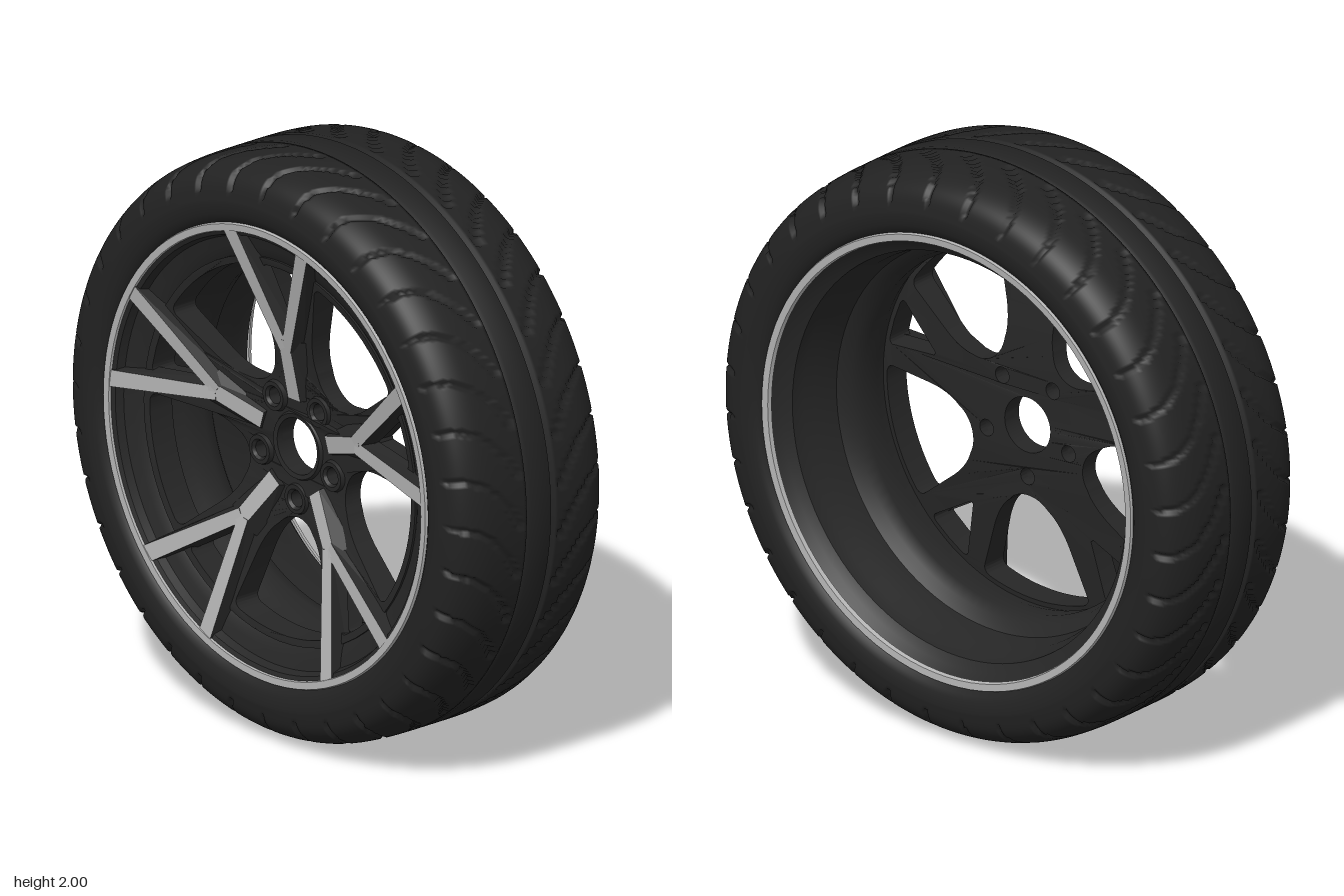
import * as THREE from 'three';
import { toCreasedNormals } from 'three/addons/utils/BufferGeometryUtils.js';

const rubber = new THREE.MeshStandardMaterial({ color: 0x222222 });
const darkMetal = new THREE.MeshStandardMaterial({ color: 0x262626, side: THREE.DoubleSide });
const silver = new THREE.MeshStandardMaterial({ color: 0xb2b2b2, side: THREE.DoubleSide });
rubber.name = 'rubber';
darkMetal.name = 'darkMetal';
silver.name = 'silver';

const V2 = (x, y) => new THREE.Vector2(x, y);
const FIFTH = (Math.PI * 2) / 5;
const lerp = THREE.MathUtils.lerp;

function add(parent, name, geometry, material) {
  const mesh = new THREE.Mesh(geometry, material);
  mesh.name = name;
  parent.add(mesh);
  return mesh;
}

// Turned part around the z axle; points are [radius, z]
function turned(points, segments = 96) {
  const g = new THREE.LatheGeometry(points.map(([r, z]) => V2(r, z)), segments);
  g.rotateX(Math.PI / 2);
  return toCreasedNormals(g, 0.6);
}

// Half tyre section as (z, radius), from the centre line to the bead
function tyreProfile() {
  const tread = new THREE.SplineCurve([
    V2(0.063, 1), V2(0.15, 0.998), V2(0.23, 0.988), V2(0.29, 0.96), V2(0.322, 0.92), V2(0.335, 0.86),
  ]).getPoints(25);
  const wall = new THREE.SplineCurve([
    V2(0.335, 0.86), V2(0.329, 0.82), V2(0.31, 0.79), V2(0.28, 0.775),
  ]).getPoints(6).slice(1);
  const half = [V2(0.044, 1), V2(0.047, 0.976), V2(0.06, 0.976), ...tread, ...wall];
  return [...half.map((p) => V2(-p.x, p.y)).reverse(), ...half];
}

// Tyre swept round the axle, with curved grooves pressed into both shoulders
function tyreGeometry() {
  const rows = tyreProfile();
  const seg = 640, grooves = 36;
  const pos = [], index = [];
  rows.forEach((p, j) => {
    const az = Math.abs(p.x);
    const u = THREE.MathUtils.clamp((az - 0.06) / 0.27, 0, 1);
    const inTread = az > 0.075 && p.y > 0.905;
    const shift = 0.25 * (1 - u) ** 2;
    const slope = (2 * 0.25 * (1 - u)) / 0.27;
    const halfWidth = 0.008 * Math.sqrt(1 + slope * slope);
    for (let i = 0; i < seg; i++) {
      const t = (i / seg) * Math.PI * 2;
      const phase = ((t + shift + (p.x < 0 ? 0.08 : 0)) * grooves) / (Math.PI * 2);
      const dist = (Math.abs(phase - Math.round(phase)) * Math.PI * 2) / grooves;
      const cut = inTread && dist < halfWidth ? 0.014 : 0;
      const r = p.y - cut * (1 - 0.5 * u);
      const z = p.x - Math.sign(p.x) * cut * u * 0.6;
      pos.push(r * Math.cos(t), r * Math.sin(t), z);
      if (j < rows.length - 1) {
        const a = j * seg + i, b = j * seg + ((i + 1) % seg);
        index.push(a, b, b + seg, a, b + seg, a + seg);
      }
    }
  });
  const g = new THREE.BufferGeometry();
  g.setAttribute('position', new THREE.Float32BufferAttribute(pos, 3));
  g.setIndex(index);
  g.computeVertexNormals();
  return g;
}

// Dished height of the spoke plate by radius
const dish = (r) => THREE.MathUtils.clamp((r - 0.24) / 0.42, 0, 1);
const frontZ = (r) => lerp(0.165, 0.25, dish(r));
const backZ = (r) => lerp(0.1, 0.15, dish(r));

// Spoke plate: disc cut by large and small windows, bolt holes and a centre bore
function plateGeometry() {
  const shape = new THREE.Shape().absarc(0, 0, 0.662, 0, Math.PI * 2);
  const circle = (x, y, r) => shape.holes.push(new THREE.Path().absarc(x, y, r, 0, Math.PI * 2, true));
  circle(0, 0, 0.097);
  for (let k = 0; k < 5; k++) {
    const up = Math.PI / 2 + k * FIFTH;
    const mid = up + FIFTH / 2;
    const at = (angle, r, deg) => {
      const t = angle + THREE.MathUtils.degToRad(deg);
      return [r * Math.cos(t), r * Math.sin(t)];
    };
    circle(...at(mid, 0.183, 0), 0.029);
    // large window between neighbouring spokes
    const big = new THREE.Path();
    big.moveTo(...at(mid, 0.25, 0));
    big.quadraticCurveTo(...at(mid, 0.255, 11), ...at(mid, 0.3, 16));
    big.quadraticCurveTo(...at(mid, 0.345, 21.5), ...at(mid, 0.43, 21.5));
    big.lineTo(...at(mid, 0.605, 21));
    big.quadraticCurveTo(...at(mid, 0.635, 21), ...at(mid, 0.637, 18));
    for (let d = 15; d >= -18; d -= 3) big.lineTo(...at(mid, 0.637, d));
    big.quadraticCurveTo(...at(mid, 0.635, -21), ...at(mid, 0.605, -21));
    big.lineTo(...at(mid, 0.43, -21.5));
    big.quadraticCurveTo(...at(mid, 0.345, -21.5), ...at(mid, 0.3, -16));
    big.quadraticCurveTo(...at(mid, 0.255, -11), ...at(mid, 0.25, 0));
    shape.holes.push(big);
    // small window inside the fork
    const small = new THREE.Path();
    small.moveTo(...at(up, 0.435, -0.8));
    small.lineTo(...at(up, 0.62, -8));
    small.quadraticCurveTo(...at(up, 0.637, -8), ...at(up, 0.637, -6));
    small.lineTo(...at(up, 0.637, 0));
    small.lineTo(...at(up, 0.637, 6));
    small.quadraticCurveTo(...at(up, 0.637, 8), ...at(up, 0.62, 8));
    small.lineTo(...at(up, 0.435, 0.8));
    small.closePath();
    shape.holes.push(small);
  }
  const g = new THREE.ExtrudeGeometry(shape, { depth: 1, bevelEnabled: false, curveSegments: 32 });
  const p = g.attributes.position;
  for (let i = 0; i < p.count; i++) {
    const r = Math.hypot(p.getX(i), p.getY(i));
    p.setZ(i, p.getZ(i) > 0.5 ? frontZ(r) : backZ(r));
  }
  return toCreasedNormals(g, 0.5);
}

// Tapered ridge from a to b: silver top face, dark sloping flanks
// ends: x, y, w (half top width), wb (half base width), z (top), zb (base)
function ridgeGeometry(a, b) {
  const d = V2(b.x - a.x, b.y - a.y).normalize();
  const corner = (e, side, low) => {
    const w = side * (low ? e.wb : e.w);
    return [e.x - d.y * w, e.y + d.x * w, low ? e.zb : e.z];
  };
  const [aL, aR, aLb, aRb] = [corner(a, 1), corner(a, -1), corner(a, 1, true), corner(a, -1, true)];
  const [bL, bR, bLb, bRb] = [corner(b, 1), corner(b, -1), corner(b, 1, true), corner(b, -1, true)];
  const quads = [
    [aR, bR, bL, aL],
    [aL, bL, bLb, aLb], [bR, aR, aRb, bRb], [aR, aL, aLb, aRb], [bL, bR, bRb, bLb],
  ];
  const g = new THREE.BufferGeometry();
  const pos = quads.flatMap(([p, q, r, s]) => [p, q, r, p, r, s].flat());
  g.setAttribute('position', new THREE.Float32BufferAttribute(pos, 3));
  g.computeVertexNormals();
  g.addGroup(0, 6, 0);
  g.addGroup(6, 24, 1);
  return g;
}

export function createModel() {
  const model = new THREE.Group();
  model.name = 'wheel';
  const wheel = new THREE.Group();
  wheel.name = 'wheelAssembly';
  wheel.position.y = 1;
  model.add(wheel);

  add(wheel, 'tyre', tyreGeometry(), rubber);

  // Stepped rim barrel, open at both ends
  add(wheel, 'rimBarrel', turned([
    [0.765, 0.31], [0.745, 0.3], [0.735, 0.272], [0.7, 0.26], [0.675, 0.25], [0.66, 0.24], [0.655, 0.15],
    [0.638, 0.1], [0.63, 0.02], [0.645, -0.03], [0.68, -0.06], [0.69, -0.16], [0.705, -0.2],
    [0.71, -0.25], [0.74, -0.27], [0.765, -0.3],
  ]), darkMetal);

  // Bright lips on the front and back edges
  const lip = [[0.757, 0.3], [0.761, 0.315], [0.785, 0.317], [0.791, 0.3]];
  add(wheel, 'frontLip', turned(lip), silver);
  add(wheel, 'backLip', turned(lip.map(([r, z]) => [r, -z]).reverse()), silver);

  add(wheel, 'spokePlate', plateGeometry(), darkMetal);
  add(wheel, 'hubRing', turned([[0.097, 0.15], [0.097, 0.172], [0.112, 0.176], [0.122, 0.16]], 48), darkMetal);

  // Forked spoke ridges and bolt seats
  const stem = ridgeGeometry(
    { x: 0, y: 0.165, w: 0.03, wb: 0.045, z: 0.185, zb: 0.15 },
    { x: 0, y: 0.385, w: 0.028, wb: 0.085, z: 0.232, zb: 0.185 });
  const fork = [-1, 1].map((s) => ridgeGeometry(
    { x: s * 0.006, y: 0.355, w: 0.023, wb: 0.04, z: 0.226, zb: 0.18 },
    { x: s * 0.175, y: 0.745, w: 0.029, wb: 0.04, z: 0.313, zb: 0.235 }));
  const seat = turned([[0.028, 0.13], [0.028, 0.172], [0.036, 0.182], [0.05, 0.182], [0.056, 0.16]], 24);
  for (let k = 0; k < 5; k++) {
    const spoke = new THREE.Group();
    spoke.name = 'spoke';
    spoke.rotation.z = k * FIFTH;
    wheel.add(spoke);
    add(spoke, 'spokeStem', stem, [silver, darkMetal]);
    add(spoke, 'spokeForkRight', fork[0], [silver, darkMetal]);
    add(spoke, 'spokeForkLeft', fork[1], [silver, darkMetal]);
    const t = Math.PI / 2 + FIFTH / 2;
    add(spoke, 'boltSeat', seat, darkMetal).position.set(0.183 * Math.cos(t), 0.183 * Math.sin(t), 0);
  }
  return model;
}
